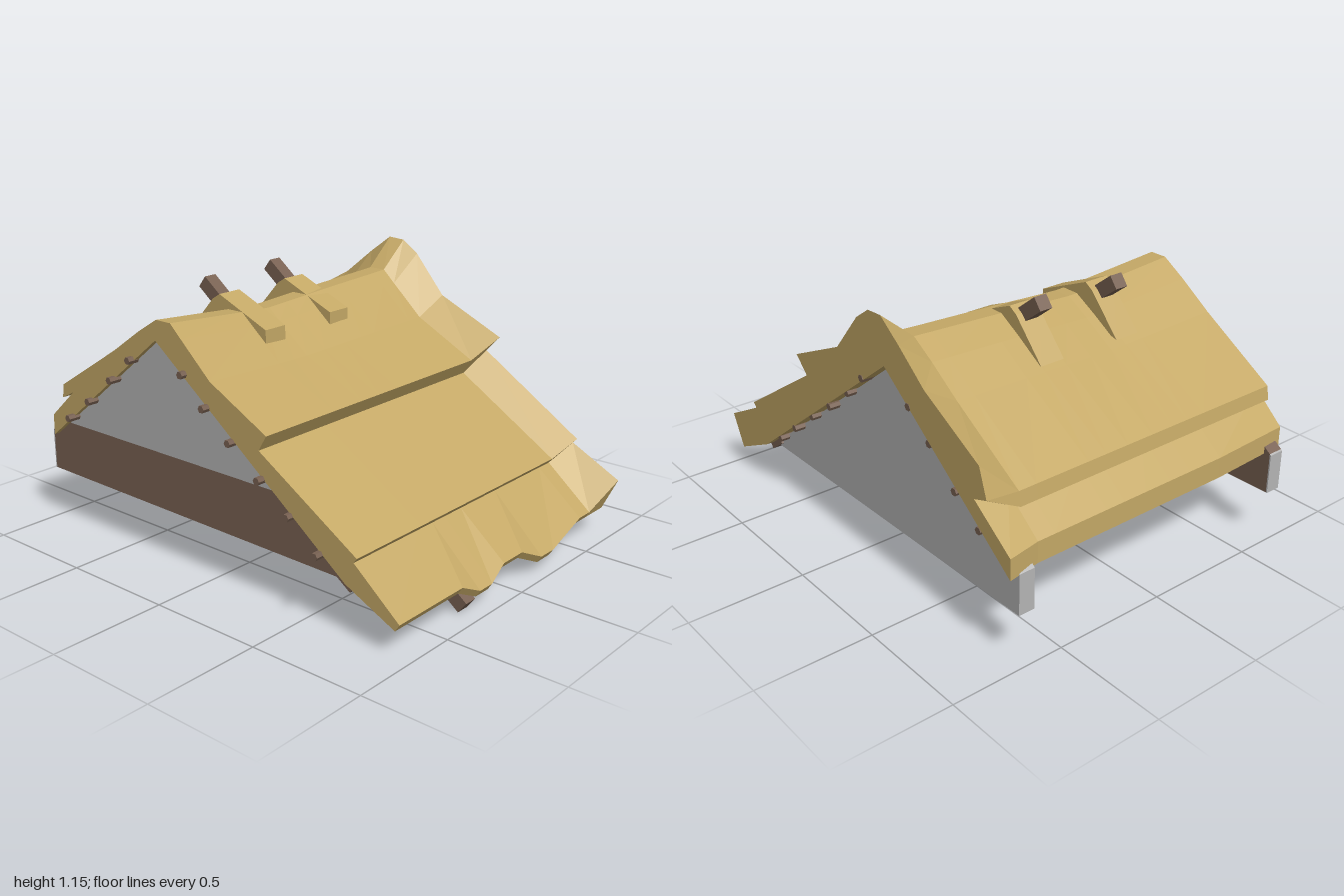
import * as THREE from 'three';

const mat = (name, color) => {
  const m = new THREE.MeshStandardMaterial({ color, flatShading: true });
  m.name = name;
  return m;
};

// Thatch cross-section: [z, y, z at the flared right end, y at the flared right end]
const PROFILE = [
  [0.93, 0.10, 0.93, 0.10],   // lower eave, bottom edge
  [0.95, 0.13, 1.00, 0.245],  // lower eave, top edge
  [0.74, 0.305, 0.77, 0.365],
  [0.755, 0.325, 0.79, 0.385], // middle layer eave
  [0.28, 0.62, 0.30, 0.70],
  [0.32, 0.685, 0.37, 0.77],  // upper layer eave
  [0.03, 0.82, 0.05, 0.90],
  [-0.12, 0.94, -0.10, 1.06],
  [-0.18, 0.99, -0.18, 1.11],
  [-0.26, 0.99, -0.26, 1.115],
  [-0.37, 0.93, -0.37, 1.04],
  [-0.52, 0.84, -0.52, 0.93],
  [-0.87, 0.645, -0.83, 0.78], // upper layer back eave
  [-0.88, 0.585, -0.87, 0.66],
  [-0.81, 0.62, -0.80, 0.635],
  [-0.975, 0.49, -1.0, 0.49], // lower back eave
  [-0.975, 0.40, -1.0, 0.40],
  [-0.27, 0.945, -0.27, 0.95], // underside ridge
  [0.70, 0.21, 0.70, 0.21],
];

// Stations along the roof: [x, front eave droop, ridge rise, flare]
const STATIONS = [
  [-0.725, 0, 0.04, 0], [-0.34, 0, 0.01, 0], [-0.25, 0.04, 0.003, 0], [-0.17, 0.04, 0, 0],
  [-0.06, 0, 0.005, 0], [0.07, 0, 0.012, 0], [0.18, 0.05, 0.018, 0], [0.27, 0.05, 0.022, 0],
  [0.52, 0, 0.032, 0], [0.60, 0, 0.036, 0], [0.745, 0, 0.034, 1],
];

function thatchGeometry() {
  const rings = STATIONS.map(([x, droop, rise, flare], s) =>
    PROFILE.map(([z, y, fz, fy], i) => {
      let pz = THREE.MathUtils.lerp(z, fz, flare);
      let py = THREE.MathUtils.lerp(y, fy, flare);
      if (i < 2) { py -= droop; pz += droop * 0.5; }
      if (i < 17) py += rise * THREE.MathUtils.clamp((y - 0.7) / 0.28, 0, 1);
      if (s === 0 && (i === 15 || i === 16)) pz += 0.02;
      return [x, py, pz];
    }));
  const pos = [];
  const n = PROFILE.length;
  const tri = (a, b, c) => pos.push(...a, ...b, ...c);
  for (let s = 0; s < rings.length - 1; s++) {
    for (let i = 0; i < n; i++) {
      const j = (i + 1) % n, p = rings[s], q = rings[s + 1];
      tri(p[i], q[i], q[j]);
      tri(p[i], q[j], p[j]);
    }
  }
  // End caps, each wound to face outward
  for (const [ring, side] of [[rings[0], -1], [rings[rings.length - 1], 1]]) {
    const pts = ring.map((p) => new THREE.Vector2(p[2], p[1]));
    for (const [a, b, c] of THREE.ShapeUtils.triangulateShape(pts, [])) {
      const area = THREE.ShapeUtils.area([pts[a], pts[b], pts[c]]);
      if (area * side < 0) tri(ring[a], ring[b], ring[c]);
      else tri(ring[a], ring[c], ring[b]);
    }
  }
  const g = new THREE.BufferGeometry();
  g.setAttribute('position', new THREE.Float32BufferAttribute(pos, 3));
  g.computeVertexNormals();
  return g;
}

// Slab with a [z, y] outline, running from x0 to x1
function slab(outline, x0, x1) {
  const shape = new THREE.Shape(outline.map(([z, y]) => new THREE.Vector2(-z, y)));
  const g = new THREE.ExtrudeGeometry(shape, { depth: x1 - x0, bevelEnabled: false });
  g.rotateY(Math.PI / 2);
  g.translate(x0, 0, 0);
  return g;
}

export function createModel() {
  const root = new THREE.Group();
  root.name = 'thatchedRoof';
  const straw = mat('straw', 0xc4a866);
  const plaster = mat('plaster', 0xb4b4b4);
  const wood = mat('wood', 0x786152);

  const add = (name, geo, material) => {
    const m = new THREE.Mesh(geo, material);
    m.name = name;
    root.add(m);
    return m;
  };
  // Timber between two [z, y] points
  const beam = (name, x, [z0, y0], [z1, y1], w, t) => {
    const dz = z1 - z0, dy = y1 - y0;
    const m = add(name, new THREE.BoxGeometry(w, t, Math.hypot(dz, dy)), wood);
    m.position.set(x, (y0 + y1) / 2, (z0 + z1) / 2);
    m.rotation.x = -Math.atan2(dy, dz);
  };

  add('thatch', thatchGeometry(), straw);

  // Gable walls; the one on the -x side has a timber lower part
  add('gableWall', slab([[0.69, 0.21], [-0.27, 0.945], [-0.995, 0.405], [-0.995, 0.23]], 0.63, 0.70), plaster);
  add('gableWallUpper', slab([[0.36, 0.465], [-0.27, 0.945], [-0.915, 0.465]], -0.70, -0.63), plaster);
  add('gableWallLower', slab([[0.69, 0.21], [0.36, 0.465], [-0.915, 0.465], [-0.99, 0.41], [-0.99, 0.23]], -0.70, -0.63), wood);
  add('gableWallEnd', slab([[-0.99, 0.23], [-0.99, 0.41], [-0.996, 0.405], [-0.996, 0.23]], -0.70, -0.63), plaster);

  // Rafters poke out past the ridge and the front eave, under straw hoods
  for (const [x, foot, head] of [[-0.272, [0.925, 0.022], [-0.44, 1.085]], [0.125, [0.84, 0.09], [-0.44, 1.095]]]) {
    beam('frontRafter', x, foot, head, 0.06, 0.06);
    beam('backRafter', x, [-0.27, 0.93], [-0.95, 0.425], 0.05, 0.05);
    add('ridgeHood', slab([[-0.05, 0.86], [-0.05, 0.945], [-0.31, 1.055], [-0.35, 1.03],
      [-0.5, 0.865], [-0.27, 0.92]], x - 0.058, x + 0.058), straw);
  }

  // Round purlins along both slopes
  const purlins = [[-0.11, 0.84], [0.01, 0.73], [0.14, 0.62], [0.295, 0.51], [0.435, 0.40], [0.58, 0.29],
    [-0.415, 0.84], [-0.53, 0.735], [-0.685, 0.61], [-0.815, 0.51]];
  purlins.forEach(([z, y], i) => {
    const p = add('purlin', new THREE.CylinderGeometry(0.016, 0.016, 1.5, 6), wood);
    p.rotation.z = Math.PI / 2;
    p.position.set(i % 2 ? -0.008 : -0.002, y, z);
  });

  // Plank along the foot of the front slope
  beam('eavePlank', 0, [0.72, 0.185], [0.635, 0.245], 1.42, 0.03);

  return root;
}
